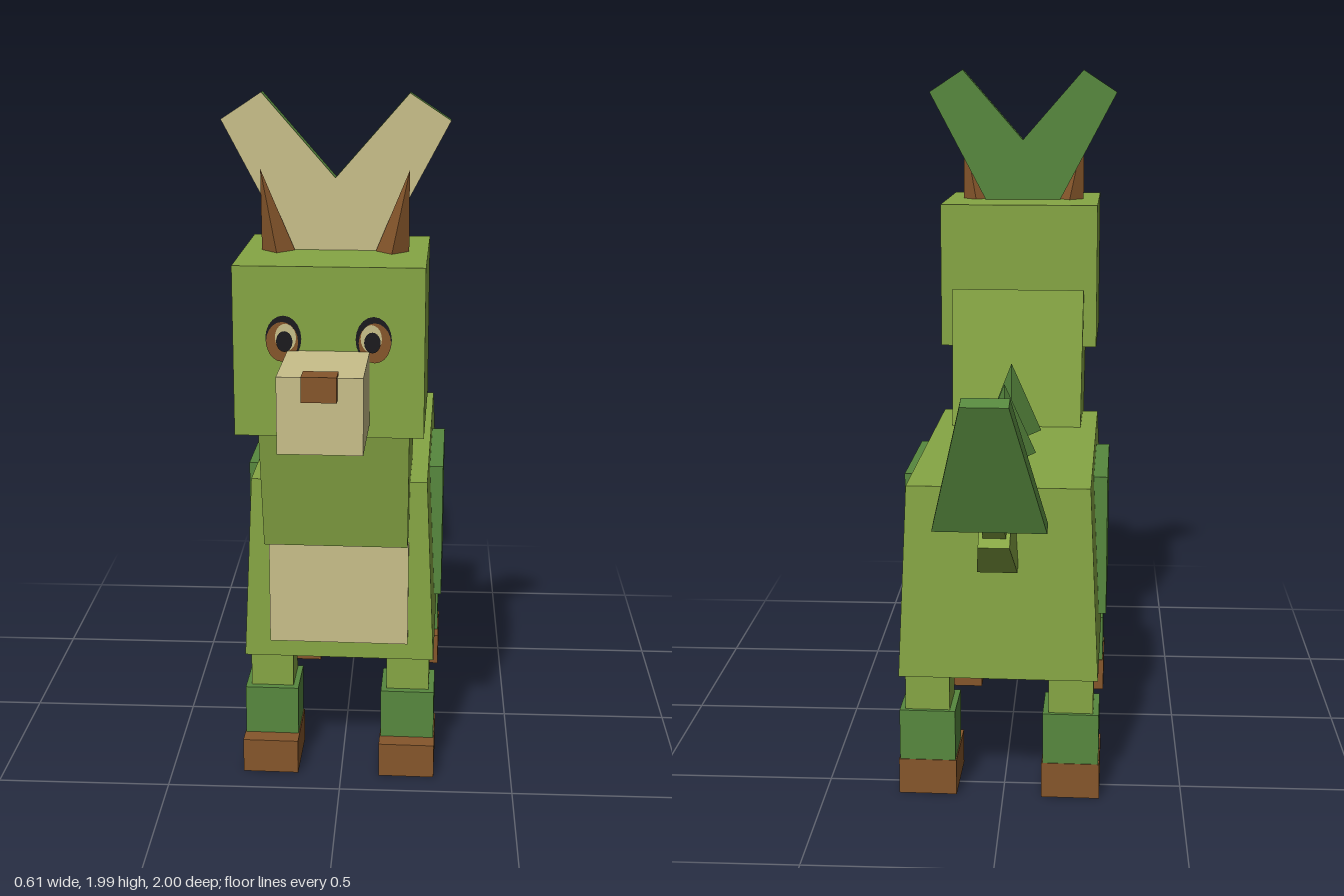
import * as THREE from 'three';
import { ConvexGeometry } from 'three/addons/geometries/ConvexGeometry.js';

function material(name, color) {
  const m = new THREE.MeshStandardMaterial({ color });
  m.name = name;
  return m;
}

// Four-point side outline [z, y, halfWidth], listed front-bottom, back-bottom,
// back-top, front-top. The underside is group 1, all other faces group 0.
function taperedBlock(outline) {
  const R = outline.map(([z, y, w]) => [w, y, z]);
  const L = outline.map(([z, y, w]) => [-w, y, z]);
  const quads = [[R[0], R[1], R[2], R[3]], [L[3], L[2], L[1], L[0]]];
  for (const i of [1, 2, 3, 0]) {
    const j = (i + 1) % 4;
    quads.push([R[i], L[i], L[j], R[j]]);
  }
  const points = quads.flatMap(([a, b, c, d]) => [a, b, c, a, c, d]).flat();
  const g = new THREE.BufferGeometry();
  g.setAttribute('position', new THREE.Float32BufferAttribute(points, 3));
  g.addGroup(0, 30, 0);
  g.addGroup(30, 6, 1);
  g.computeVertexNormals();
  return g;
}

// Four-sided spike from a list of base corners and a tip
function spike(...points) {
  return new ConvexGeometry(points.map((p) => new THREE.Vector3(...p)));
}

export function createModel() {
  const lime = material('lime', 0x86a644);
  const green = material('leafGreen', 0x57883e);
  const cream = material('cream', 0xc9bf8a);
  const brown = material('brown', 0x86562b);
  const black = material('black', 0x1c1b1e);

  const model = new THREE.Group();
  model.name = 'woodlandCreature';

  function add(name, geometry, mat, x = 0, y = 0, z = 0) {
    const mesh = new THREE.Mesh(geometry, mat);
    mesh.name = name;
    mesh.position.set(x, y, z);
    model.add(mesh);
    return mesh;
  }
  // Box given by its min and max on each axis
  function box(name, mat, [x0, x1], [y0, y1], [z0, z1]) {
    const g = new THREE.BoxGeometry(x1 - x0, y1 - y0, z1 - z0);
    return add(name, g, mat, (x0 + x1) / 2, (y0 + y1) / 2, (z0 + z1) / 2);
  }
  const block = (name, mat, outline) => add(name, taperedBlock(outline), mat);

  // Body with cream underside, chest patch and neck
  block('body', [lime, cream], [
    [0.375, 0.36, 0.275], [-0.61, 0.36, 0.275], [-0.59, 0.9, 0.25], [0.365, 0.9, 0.25],
  ]);
  box('chestPatch', cream, [-0.2, 0.2], [0.41, 0.72], [0.36, 0.382]);
  block('neck', [lime, lime], [
    [0.49, 0.75, 0.2], [0.115, 0.82, 0.2], [0.205, 1.32, 0.205], [0.585, 1.25, 0.205],
  ]);

  // Head, muzzle and nose
  box('head', lime, [-0.245, 0.245], [1.135, 1.58], [0.24, 0.71]);
  box('muzzle', cream, [-0.105, 0.105], [1.17, 1.363], [0.7, 0.975]);
  box('nose', brown, [-0.043, 0.043], [1.307, 1.37], [0.94, 0.998]);

  // Eyes, ears, side panels and legs, mirrored
  for (const s of [1, -1]) {
    const side = s > 0 ? 'left' : 'right';

    // Eye layers: [part, material, width radius, height radius, x, y]
    const layers = [
      ['EyeRim', black, 0.046, 0.06, 0.115, 1.394],
      ['EyeBrown', brown, 0.041, 0.052, 0.118, 1.386],
      ['EyeWhite', cream, 0.027, 0.036, 0.109, 1.398],
      ['Pupil', black, 0.021, 0.027, 0.112, 1.388],
    ];
    layers.forEach(([part, mat, rx, ry, x, y], i) => {
      const g = new THREE.CircleGeometry(1, 20).scale(rx, ry, 1);
      add(side + part, g, mat, s * x, y, 0.712 + i * 0.002);
    });

    add(side + 'Ear', spike(
      [s * 0.105, 1.575, 0.48], [s * 0.195, 1.575, 0.48],
      [s * 0.15, 1.575, 0.527], [s * 0.15, 1.575, 0.432],
      [s * 0.195, 1.795, 0.495],
    ), brown);

    const panelX = s > 0 ? [0.24, 0.292] : [-0.292, -0.24];
    box(side + 'SidePanel', green, panelX, [0.447, 0.858], [-0.308, 0.088]);

    for (const [end, z] of [['Front', 0.282], ['Back', -0.503]]) {
      const span = (c, r) => [c - r, c + r];
      box(side + end + 'Leg', lime, span(s * 0.2, 0.062), [0.24, 0.4], span(z - 0.005, 0.062));
      box(side + end + 'Sock', green, span(s * 0.2, 0.078), [0.1, 0.248], span(z, 0.078));
      box(side + end + 'Hoof', brown, span(s * 0.2, 0.081), [0, 0.102], [z - 0.08, z + 0.13]);
    }
  }

  // Forked head crest, green with a cream front face
  const half = [[0.115, 1.57], [0.3, 1.92], [0.193, 1.99]];
  const outline = [
    ...half, [0, 1.77], ...half.map(([x, y]) => [-x, y]).reverse(),
  ].map(([x, y]) => new THREE.Vector2(x, y));
  const crest = new THREE.Shape(outline);
  add('crest', new THREE.ExtrudeGeometry(crest, { depth: 0.036, bevelEnabled: false }), green, 0, 0, 0.435);
  add('crestFront', new THREE.ShapeGeometry(crest), cream, 0, 0, 0.473);

  // Spikes along the back: [centre z, base y, tip y]
  for (const [z, y, tip] of [[0, 0.92, 1.14], [-0.28, 0.92, 1.135], [-0.56, 0.9, 1.07]]) {
    add('backSpike', spike(
      [0, y + 0.022, z + 0.082], [0, y - 0.022, z - 0.082],
      [0.085, y, z], [-0.085, y, z], [0, tip, z - 0.075],
    ), green);
  }

  // Two-part tail and its angled fan
  block('tailBase', [lime, lime], [
    [-0.56, 0.7, 0.055], [-0.62, 0.67, 0.055], [-0.735, 0.775, 0.042], [-0.66, 0.845, 0.042],
  ].map((p, i) => (i === 0 ? [-0.54, 0.74, 0.055] : p)));
  block('tailTip', [lime, lime], [
    [-0.66, 0.83, 0.032], [-0.7, 0.78, 0.032], [-0.81, 0.9, 0.025], [-0.772, 0.937, 0.025],
  ]);
  block('tailFan', [green, green], [
    [-0.825, 0.872, 0.147], [-0.868, 0.858, 0.147], [-1, 1.21, 0.06], [-0.958, 1.225, 0.06],
  ]);

  // The creature stands turned by about one degree
  model.rotation.y = -0.02;
  const root = new THREE.Group();
  root.name = 'creature';
  root.add(model);
  return root;
}
